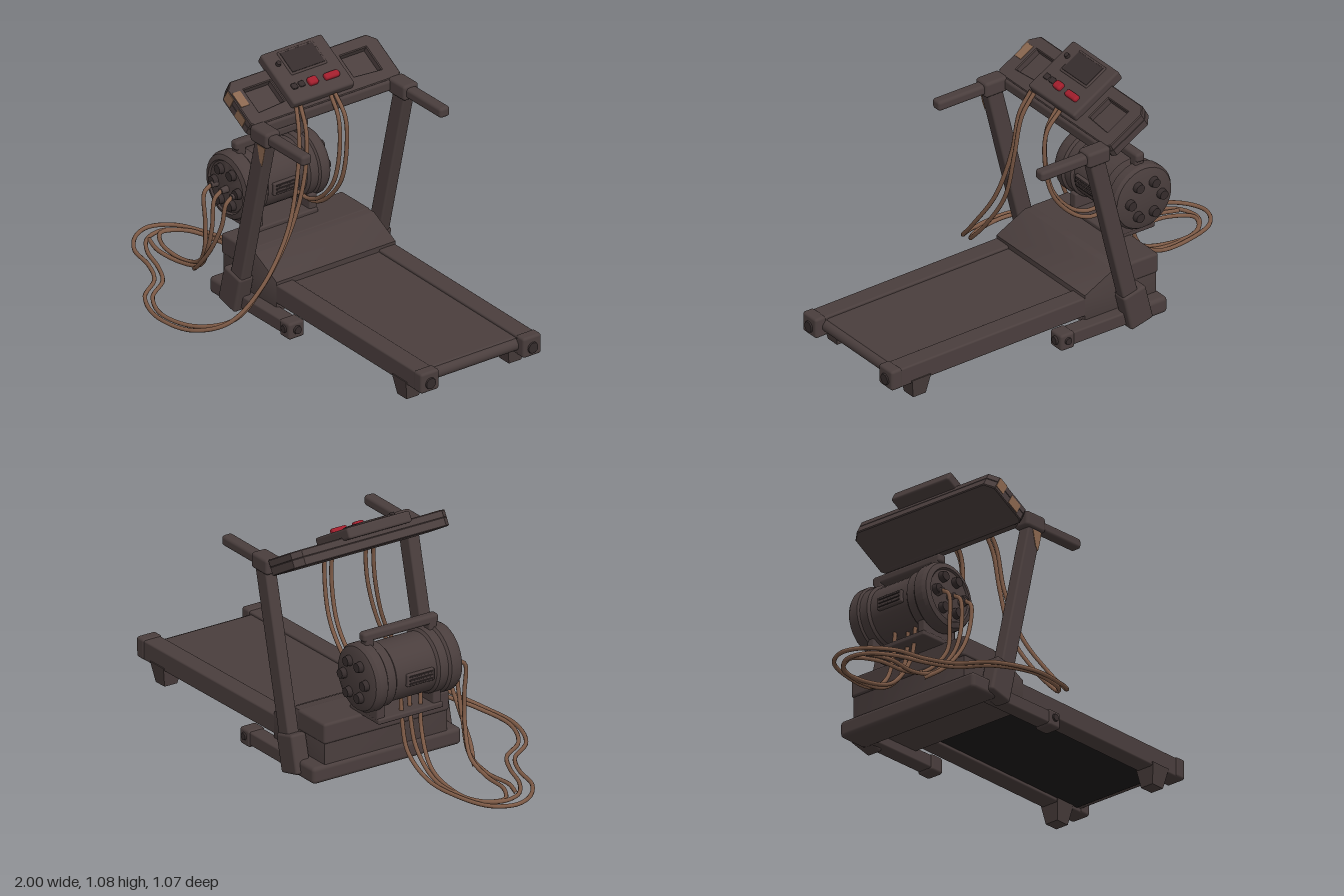
import * as THREE from 'three';
import { toCreasedNormals } from 'three/addons/utils/BufferGeometryUtils.js';
import { RoundedBoxGeometry } from 'three/addons/geometries/RoundedBoxGeometry.js';

const mat = (name, color) => {
  const m = new THREE.MeshStandardMaterial({ color });
  m.name = name;
  return m;
};

export function createModel() {
  const body = mat('dark metal', 0x4a3e3d);
  const dark = mat('dark recess', 0x352c2c);
  const black = mat('black underside', 0x1e1b1b);
  const copper = mat('brown cable', 0x7d5a46);
  const rust = mat('worn patch', 0x8a674f);
  const red = mat('red button', 0xa01e2c);
  const CZ = -0.145; // centre line of the treadmill
  const root = new THREE.Group();

  const add = (parent, name, geo, m, x = 0, y = 0, z = 0) => {
    const mesh = new THREE.Mesh(geo, m);
    mesh.name = name;
    mesh.position.set(x, y, z);
    parent.add(mesh);
    return mesh;
  };
  // Rounded box given by its min and max on each axis
  const box = (parent, name, m, x0, x1, y0, y1, z0, z1, r = 0.008) => {
    const w = x1 - x0, h = y1 - y0, d = z1 - z0;
    const rad = Math.min(r, Math.min(w, h, d) * 0.45);
    return add(parent, name, new RoundedBoxGeometry(w, h, d, 2, rad), m, (x0 + x1) / 2, (y0 + y1) / 2, (z0 + z1) / 2);
  };
  const disc = (parent, name, m, r, len, axis, x, y, z) => {
    const g = new THREE.CylinderGeometry(r * 0.85, r, len, 16);
    if (axis === 'x') g.rotateZ(-Math.PI / 2);
    if (axis === 'z') g.rotateX(Math.PI / 2);
    return add(parent, name, g, m, x, y, z);
  };
  const group = (name) => {
    const g = new THREE.Group();
    g.name = name;
    root.add(g);
    return g;
  };

  // Running deck, falling slightly towards its rear end
  const deck = group('deck');
  deck.rotation.z = -0.013;
  deck.position.y = 0.005;
  box(deck, 'beltTop', body, -0.03, 0.935, 0.13, 0.176, CZ - 0.23, CZ + 0.23, 0.015);
  box(deck, 'beltUnderside', black, -0.05, 0.92, 0.115, 0.135, CZ - 0.225, CZ + 0.225);
  const roller = new THREE.CylinderGeometry(0.026, 0.026, 0.45, 20).rotateX(Math.PI / 2);
  add(deck, 'rearRoller', roller, body, 0.93, 0.145, CZ);
  for (const s of [-1, 1]) {
    const z = CZ + s * 0.263;
    box(deck, 'sideRail', body, -0.12, 0.95, 0.1, 0.187, z - 0.043, z + 0.043);
    box(deck, 'railEndCap', body, 0.935, 0.99, 0.1, 0.192, z - 0.047, z + 0.047, 0.012);
    disc(deck, 'endCapBolt', dark, 0.028, 0.012, 'x', 0.99, 0.14, z);
    const foot = new THREE.CylinderGeometry(0.068, 0.045, 0.09, 4).rotateY(Math.PI / 4);
    add(deck, 'deckFoot', toCreasedNormals(foot, 0.5), body, 0.84, 0.07, z);
  }

  // Motor hood with sloping rear
  const hoodShape = new THREE.Shape([[-0.35, 0.08], [0, 0.08], [0, 0.2], [-0.14, 0.272], [-0.35, 0.272]]
    .map(p => new THREE.Vector2(...p)));
  const hood = new THREE.ExtrudeGeometry(hoodShape, { depth: 0.6, bevelSize: 0.008, bevelThickness: 0.008, bevelSegments: 2 });
  add(root, 'hood', toCreasedNormals(hood, 0.6), body, 0, 0, CZ - 0.3);
  box(root, 'hoodLid', body, -0.365, -0.17, 0.19, 0.282, CZ - 0.312, CZ + 0.312, 0.012);

  // Floor frame
  box(root, 'frontCrossBar', body, -0.37, -0.22, 0.025, 0.1, CZ - 0.37, CZ + 0.37, 0.018);
  for (const s of [-1, 1]) {
    const z = CZ + s * 0.325;
    box(root, 'floorBar', body, -0.34, 0.13, 0.03, 0.09, z - 0.035, z + 0.035);
    box(root, 'floorBarCap', body, 0.1, 0.17, 0.02, 0.095, z - 0.04, z + 0.04, 0.012);
    disc(root, 'floorBarBolt', dark, 0.02, 0.012, 'x', 0.173, 0.06, z);
    disc(root, 'floorBarSideBolt', dark, 0.018, 0.012, 'y', 0.135, 0.062, z + s * 0.041).rotation.x = s * Math.PI / 2;
  }

  // Uprights, sockets and hand grips
  for (const s of [-1, 1]) {
    const z = CZ + s * 0.355;
    const post = box(root, 'upright', body, -0.0375, 0.0375, -0.43, 0.43, -0.028, 0.028);
    post.position.set(-0.105, 0.455, z);
    post.rotation.z = -0.239;
    const socket = box(root, 'uprightSocket', body, -0.058, 0.058, -0.085, 0.085, -0.038, 0.038, 0.012);
    socket.position.set(-0.205, 0.112, z);
    socket.rotation.z = -0.239;
    box(root, 'gripCollar', body, -0.065, 0.05, 0.858, 0.928, z - 0.038, z + 0.038, 0.014);
    box(root, 'handGrip', body, 0.03, 0.28, 0.87, 0.916, z - 0.026, z + 0.026, 0.014);
  }
  box(root, 'consoleBar', body, -0.11, -0.045, 0.868, 0.92, CZ - 0.34, CZ + 0.34, 0.014);
  const worn = new THREE.Shape([[-0.022, 0.04], [0.03, 0.04], [0.02, -0.01], [0.008, -0.05], [-0.006, -0.03]]
    .map(p => new THREE.Vector2(...p)));
  add(root, 'postWear', new THREE.ExtrudeGeometry(worn, { depth: 0.003, bevelEnabled: false }), rust, 0, 0.815, CZ + 0.382);

  // Console, tilted towards the runner
  const con = group('console');
  con.position.set(-0.17, 0.95, CZ);
  con.rotation.z = -0.52;
  const top = new THREE.Shape([[-0.115, -0.35], [-0.08, -0.385], [0.1, -0.385], [0.115, -0.37],
    [0.115, 0.37], [0.1, 0.385], [-0.08, 0.385], [-0.115, 0.35]].map(p => new THREE.Vector2(...p)));
  const slab = (shape, depth) => toCreasedNormals(new THREE.ExtrudeGeometry(shape, {
    depth, bevelSize: 0.004, bevelThickness: 0.004, bevelOffset: -0.004, bevelSegments: 1 }).rotateX(-Math.PI / 2), 0.5);
  add(con, 'consoleBase', slab(top, 0.032), body, 0, -0.031, 0);
  const rim = top.clone();
  for (const s of [-1, 1]) {
    rim.holes.push(new THREE.Path([[-0.06, 0.18], [0.05, 0.18], [0.06, 0.315], [-0.06, 0.315]]
      .map(([x, z]) => new THREE.Vector2(x, s * z))));
  }
  add(con, 'consoleRim', slab(rim, 0.026), body, 0, 0.005, 0);
  box(con, 'controlPanel', body, -0.17, 0.097, 0.02, 0.068, -0.145, 0.17, 0.01);
  // Screen frame and screen
  box(con, 'screenFrame', body, -0.152, -0.032, 0.06, 0.073, -0.085, 0.1, 0.006);
  box(con, 'screen', dark, -0.143, -0.041, 0.07, 0.075, -0.076, 0.091, 0.002);
  disc(con, 'knob', dark, 0.012, 0.016, 'y', -0.1, 0.073, 0.125);
  for (const z of [0.085, 0.122]) {
    box(con, 'smallButton', dark, 0.008, 0.034, 0.062, 0.078, z - 0.013, z + 0.013, 0.004);
  }
  box(con, 'redButton', red, 0.008, 0.045, 0.062, 0.088, 0.01, 0.056, 0.01);
  box(con, 'redButton', red, 0.014, 0.045, 0.062, 0.086, -0.1, -0.025, 0.01);
  // Worn corner of the console
  box(con, 'topWear', rust, -0.06, 0.015, 0.034, 0.037, 0.335, 0.377, 0.001);
  box(con, 'sideWear', rust, -0.078, -0.03, -0.02, 0.033, 0.383, 0.387, 0.001);
  box(con, 'sideWear', rust, 0.01, 0.07, -0.026, 0.02, 0.383, 0.387, 0.001);

  // Electric motor lying along z
  const motor = group('motor');
  motor.position.set(-0.395, 0.465, 0);
  const profile = [[0, -0.325], [0.112, -0.325], [0.138, -0.315], [0.148, -0.3], [0.148, -0.262], [0.139, -0.255],
    [0.139, -0.215], [0.128, -0.205], [0.128, -0.005], [0.139, 0.005], [0.139, 0.045], [0.149, 0.055],
    [0.149, 0.095], [0.14, 0.112], [0.118, 0.12], [0.112, 0.112], [0, 0.112]].map(p => new THREE.Vector2(...p));
  const shell = new THREE.LatheGeometry(profile, 32).rotateX(Math.PI / 2);
  add(motor, 'motorShell', toCreasedNormals(shell, 0.5), body);
  for (let i = 0; i < 6; i++) {
    const a = (i / 6) * Math.PI * 2 + Math.PI / 3;
    const x = Math.cos(a) * 0.08, y = Math.sin(a) * 0.08;
    disc(motor, 'frontBolt', dark, 0.024, 0.025, 'z', x, y, 0.122);
    disc(motor, 'rearBolt', dark, 0.024, 0.025, 'z', x, y, -0.335).rotation.y = Math.PI;
  }
  for (const x of [-0.07, 0, 0.07]) disc(motor, 'plug', body, 0.016, 0.035, 'z', x, -0.01, 0.128);
  // Ribbed plate on either flank
  for (const s of [-1, 1]) {
    const x = s * 0.128;
    box(motor, 'flankPlate', body, x - 0.012, x + 0.012, -0.03, 0.025, -0.16, -0.025, 0.005);
    for (const y of [-0.018, -0.002, 0.014]) {
      box(motor, 'flankRib', dark, x + s * 0.01 - 0.006, x + s * 0.01 + 0.006, y - 0.004, y + 0.004, -0.15, -0.035, 0.003);
    }
  }
  // Carrying handle
  box(motor, 'handleBar', body, -0.022, 0.022, 0.158, 0.2, -0.295, 0.08, 0.014);
  for (const z of [0.05, -0.265]) box(motor, 'handlePost', body, -0.022, 0.022, 0.11, 0.18, z - 0.02, z + 0.02);
  // Mounting feet and plate
  for (const z of [0.03, -0.25]) box(motor, 'motorFoot', body, -0.08, 0.11, -0.175, -0.1, z - 0.02, z + 0.02);
  box(motor, 'mountPlate', body, -0.09, 0.12, -0.19, -0.165, -0.27, 0.055);

  // Cables
  const cable = (pts, r = 0.009) => {
    const curve = new THREE.CatmullRomCurve3(pts.map(p => new THREE.Vector3(...p)));
    add(root, 'cable', new THREE.TubeGeometry(curve, pts.length * 10, r, 8), copper);
  };
  // Long pair from the console, round the floor and up under the motor
  cable([[-0.06, 0.94, 0.01], [-0.015, 0.84, 0.03], [0.005, 0.65, 0.055], [0.03, 0.42, 0.13], [0.04, 0.22, 0.27],
    [0.0, 0.09, 0.4], [-0.12, 0.035, 0.495], [-0.32, 0.022, 0.525], [-0.5, 0.02, 0.455], [-0.6, 0.02, 0.33],
    [-0.72, 0.02, 0.27], [-0.86, 0.02, 0.235], [-0.96, 0.02, 0.15], [-0.989, 0.02, 0.06], [-0.94, 0.02, -0.03],
    [-0.8, 0.025, -0.09], [-0.62, 0.045, -0.12], [-0.5, 0.13, -0.135], [-0.46, 0.25, -0.135], [-0.45, 0.36, -0.135]]);
  cable([[-0.06, 0.94, -0.012], [-0.005, 0.84, 0.0], [0.015, 0.65, 0.025], [0.01, 0.42, 0.095], [0.012, 0.22, 0.23],
    [-0.01, 0.09, 0.36], [-0.13, 0.04, 0.465], [-0.32, 0.025, 0.5], [-0.48, 0.02, 0.43], [-0.57, 0.02, 0.31],
    [-0.68, 0.02, 0.25], [-0.82, 0.02, 0.2], [-0.91, 0.02, 0.13], [-0.93, 0.02, 0.04], [-0.87, 0.02, -0.04],
    [-0.72, 0.025, -0.085], [-0.58, 0.045, -0.08], [-0.48, 0.13, -0.08], [-0.44, 0.25, -0.08], [-0.43, 0.36, -0.08]]);
  // Plug leads on the front of the motor
  cable([[-0.465, 0.455, 0.14], [-0.465, 0.43, 0.175], [-0.46, 0.3, 0.175], [-0.47, 0.17, 0.17], [-0.56, 0.06, 0.135],
    [-0.68, 0.02, 0.13], [-0.83, 0.02, 0.115], [-0.92, 0.02, 0.05], [-0.86, 0.02, -0.05], [-0.7, 0.03, -0.075],
    [-0.55, 0.07, -0.06], [-0.46, 0.2, -0.04], [-0.44, 0.36, -0.03]]);
  cable([[-0.395, 0.455, 0.14], [-0.395, 0.43, 0.175], [-0.4, 0.3, 0.185], [-0.44, 0.17, 0.18], [-0.53, 0.06, 0.15],
    [-0.66, 0.02, 0.15], [-0.8, 0.02, 0.16], [-0.9, 0.02, 0.13]]);
  cable([[-0.325, 0.455, 0.14], [-0.325, 0.43, 0.17], [-0.34, 0.33, 0.18], [-0.4, 0.2, 0.19], [-0.5, 0.08, 0.18], [-0.58, 0.02, 0.14]]);
  // Short pair from the console to the motor flank
  for (const [z, o] of [[-0.168, 0], [-0.19, 0.018]]) {
    cable([[-0.06, 0.94, z], [-0.01 + o, 0.86, z], [0.0 + o, 0.72, z], [-0.04 + o, 0.55, z],
      [-0.13, 0.44 - o, z], [-0.21, 0.4 - o, z], [-0.29, 0.4 - o, z]]);
  }
  return root;
}
